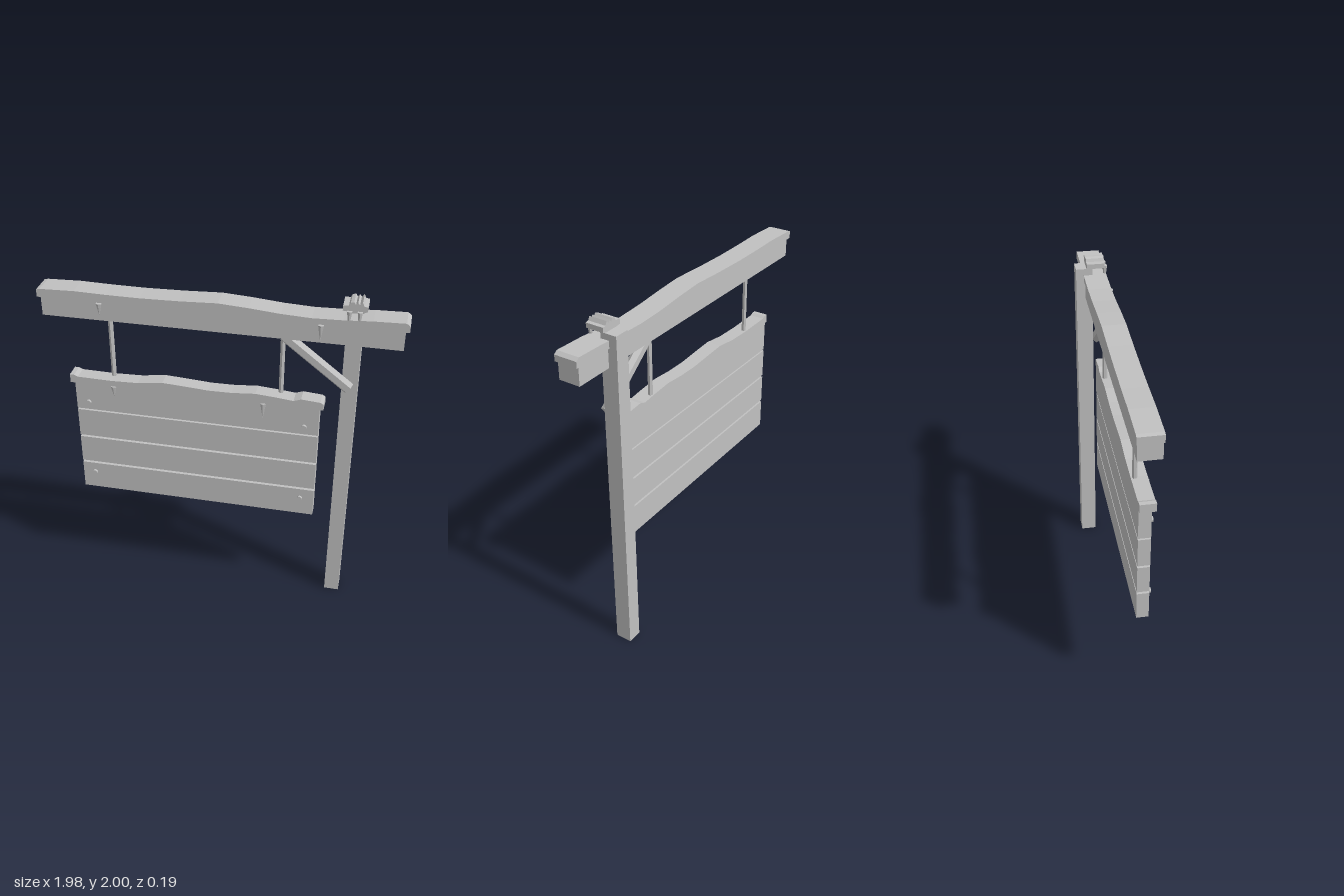
import * as THREE from 'three';

export function createModel() {
  const model = new THREE.Group();
  model.name = 'hangingSign';
  const grey = new THREE.MeshStandardMaterial({ color: 0xc0c0c0, flatShading: true });
  grey.name = 'plain grey';

  const add = (name, geometry, x = 0, y = 0, z = 0) => {
    const mesh = new THREE.Mesh(geometry, grey);
    mesh.name = name;
    mesh.position.set(x, y, z);
    model.add(mesh);
    return mesh;
  };
  // Box given by its limits on each axis
  const block = (name, x0, x1, y0, y1, z0, z1) =>
    add(name, new THREE.BoxGeometry(x1 - x0, y1 - y0, z1 - z0), (x0 + x1) / 2, (y0 + y1) / 2, (z0 + z1) / 2);
  // Outline in x and y, extruded from z0 to z1
  const slab = (name, points, z0, z1) => {
    const shape = new THREE.Shape(points.map(([x, y]) => new THREE.Vector2(x, y)));
    return add(name, new THREE.ExtrudeGeometry(shape, { depth: z1 - z0, bevelEnabled: false }), 0, 0, z0);
  };

  // Post and crossbeam
  block('post', 0.662, 0.748, 0, 1.94, -0.097, -0.003);
  block('crossbeam', -0.968, 0.965, 1.76, 1.87, -0.045, 0.077);

  // Snow layers with wavy tops
  slab('beamSnow', [
    [-0.99, 1.865], [0.985, 1.865], [0.985, 1.9], [0.965, 1.915], [0.8, 1.91], [0.65, 1.9], [0.49, 1.895],
    [0.33, 1.902], [0.16, 1.917], [0, 1.927], [-0.2, 1.918], [-0.42, 1.913], [-0.6, 1.914], [-0.78, 1.918], [-0.97, 1.912], [-0.99, 1.907],
  ], -0.053, 0.078);
  slab('signSnow', [
    [-0.845, 1.355], [0.583, 1.355], [0.583, 1.392], [0.565, 1.402], [0.46, 1.41], [0.42, 1.395], [0.33, 1.404],
    [0.21, 1.413], [0.08, 1.402], [-0.05, 1.4], [-0.2, 1.41], [-0.31, 1.416], [-0.45, 1.397], [-0.6, 1.392], [-0.8, 1.395], [-0.82, 1.405], [-0.845, 1.405],
  ], -0.003, 0.084);

  // Ridged cap on the post with its two pegs
  slab('postCap', [
    [0.672, 1.945], [0.745, 1.945], [0.767, 1.95], [0.767, 1.977], [0.748, 1.98], [0.738, 2], [0.725, 1.985],
    [0.715, 1.998], [0.705, 1.985], [0.695, 2], [0.678, 1.994], [0.67, 1.978], [0.641, 1.976], [0.641, 1.948],
  ], -0.037, 0.066);
  for (const x of [0.677, 0.73]) add('capPeg', new THREE.CylinderGeometry(0.015, 0.008, 0.05, 6), x, 1.925, 0.071);

  // Sign planks
  for (const [y0, y1] of [[1.175, 1.355], [0.99, 1.165], [0.807, 0.977], [0.62, 0.793]]) {
    block('plank', -0.826, 0.561, y0, y1, -0.003, 0.064);
  }

  // Hanging rods
  for (const [x, y0] of [[-0.606, 1.37], [0.341, 1.355]]) {
    add('hangingRod', new THREE.CylinderGeometry(0.014, 0.014, 1.78 - y0, 6), x, (y0 + 1.78) / 2, 0.018);
  }

  // Diagonal six-sided brace
  const from = new THREE.Vector3(0.704, 1.475, 0.022), to = new THREE.Vector3(0.348, 1.752, 0.022);
  const bar = new THREE.CylinderGeometry(0.035, 0.035, from.distanceTo(to), 6);
  bar.rotateY(Math.PI / 6);
  const brace = add('brace', bar);
  brace.position.copy(from).add(to).multiplyScalar(0.5);
  brace.rotation.z = Math.atan2(to.y - from.y, to.x - from.x) - Math.PI / 2;
  bar.rotateY(Math.PI / 3 * 0.5 + Math.PI / 6 * 1).scale(1, 1, 0.85);

  // Icicles
  for (const [x, top, tip] of [[-0.642, 1.863, 1.797], [0.54, 1.863, 1.773], [-0.592, 1.357, 1.294], [0.255, 1.357, 1.263]]) {
    const spike = new THREE.CylinderGeometry(0.017, 0.001, top - tip, 6);
    add('icicle', spike, x, (top + tip) / 2, 0.083).scale.z = 0.85;
  }

  // Nail heads
  for (const x of [-0.75, 0.483]) {
    for (const y of [1.23, 0.739]) {
      const head = new THREE.CylinderGeometry(0.015, 0.015, 0.013, 10);
      add('nailHead', head.rotateX(Math.PI / 2), x, y, 0.08);
    }
  }

  return model;
}
